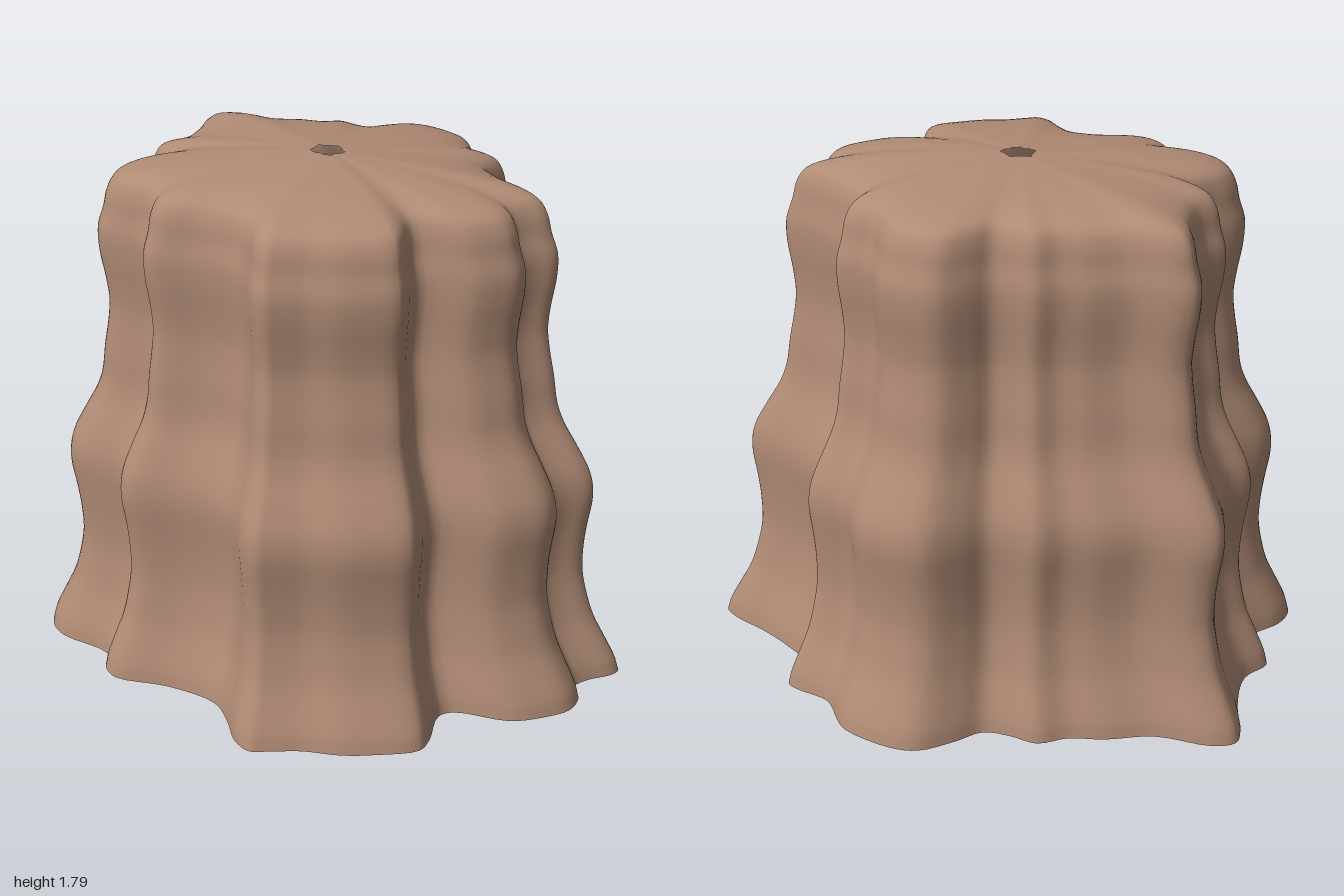
import * as THREE from 'three';

// Ground outline of the fluted trunk (x, z), counter-clockwise seen from above
const OUTLINE = [
  [0.995, -0.08], [0.95, -0.13], [0.83, -0.2], [0.72, -0.28], [0.635, -0.37], [0.655, -0.5],
  [0.62, -0.53], [0.5, -0.58], [0.44, -0.68], [0.4, -0.73], [0.235, -0.8], [0.14, -0.8],
  [0.03, -0.73], [-0.05, -0.665], [-0.14, -0.67], [-0.235, -0.695], [-0.33, -0.65], [-0.45, -0.635],
  [-0.61, -0.59], [-0.8, -0.61], [-0.875, -0.58], [-0.885, -0.51], [-0.865, -0.37], [-0.877, -0.2],
  [-0.945, -0.107], [-0.93, -0.06], [-0.855, 0.016], [-0.89, 0.08], [-0.97, 0.16], [-1, 0.24],
  [-0.97, 0.35], [-0.9, 0.41], [-0.7, 0.46], [-0.67, 0.535], [-0.61, 0.58], [-0.42, 0.565],
  [-0.235, 0.595], [-0.155, 0.67], [-0.085, 0.765], [-0.02, 0.8], [0.04, 0.78], [0.14, 0.74],
  [0.27, 0.715], [0.38, 0.67], [0.5, 0.6], [0.513, 0.535], [0.5, 0.4], [0.54, 0.36],
  [0.73, 0.34], [0.83, 0.28], [0.9, 0.21], [0.91, 0.13], [0.88, 0.07], [0.915, 0.016], [0.98, -0.04],
];

// Outline scale against height: rippled wall, rounded shoulder, shallow cap
const PROFILE = [
  [1, 0], [0.985, 0.05], [0.95, 0.12], [0.91, 0.2], [0.885, 0.28], [0.865, 0.38], [0.865, 0.48],
  [0.873, 0.56], [0.888, 0.68], [0.875, 0.76], [0.83, 0.85], [0.785, 0.93], [0.76, 1], [0.745, 1.1],
  [0.727, 1.2], [0.72, 1.27], [0.727, 1.35], [0.742, 1.45], [0.742, 1.53], [0.72, 1.6],
  [0.705, 1.66], [0.675, 1.705], [0.6, 1.735], [0.43, 1.762], [0.25, 1.778], [0.055, 1.79],
];

const CENTRE = { x: -0.053, z: -0.02 };

function createTrunkGeometry(around, rows) {
  const ring = new THREE.CatmullRomCurve3(
    OUTLINE.map(([x, z]) => new THREE.Vector3(x, 0, z)), true).getPoints(around).slice(0, around);
  const levels = new THREE.CatmullRomCurve3(
    PROFILE.map(([s, y]) => new THREE.Vector3(s, y, 0))).getPoints(rows);
  const positions = [];
  const indices = [];
  levels.forEach(({ x: scale, y }, row) => {
    for (const p of ring) {
      const dx = p.x - CENTRE.x;
      const dz = p.z - CENTRE.z;
      // The trunk leans very slightly towards -x as it rises
      const s = scale * (1 - 0.025 * (y / 1.79) * dx / Math.hypot(dx, dz));
      positions.push(CENTRE.x + dx * s, Math.max(0, y), CENTRE.z + dz * s);
    }
    if (row === rows) return;
    for (let i = 0; i < around; i++) {
      const a = row * around + i;
      const b = row * around + (i + 1) % around;
      indices.push(a, b, b + around, a, b + around, a + around);
    }
  });
  const geometry = new THREE.BufferGeometry();
  geometry.setAttribute('position', new THREE.Float32BufferAttribute(positions, 3));
  geometry.setIndex(indices);
  geometry.computeVertexNormals();
  return geometry;
}

export function createModel() {
  const group = new THREE.Group();
  group.name = 'flutedStump';

  const bark = new THREE.MeshStandardMaterial({ color: 0xb08b75, side: THREE.DoubleSide });
  bark.name = 'bark brown';

  // One open shell: no floor, and a small hole at the centre of the cap
  const trunk = new THREE.Mesh(createTrunkGeometry(220, 100), bark);
  trunk.name = 'trunkShell';
  group.add(trunk);
  return group;
}
